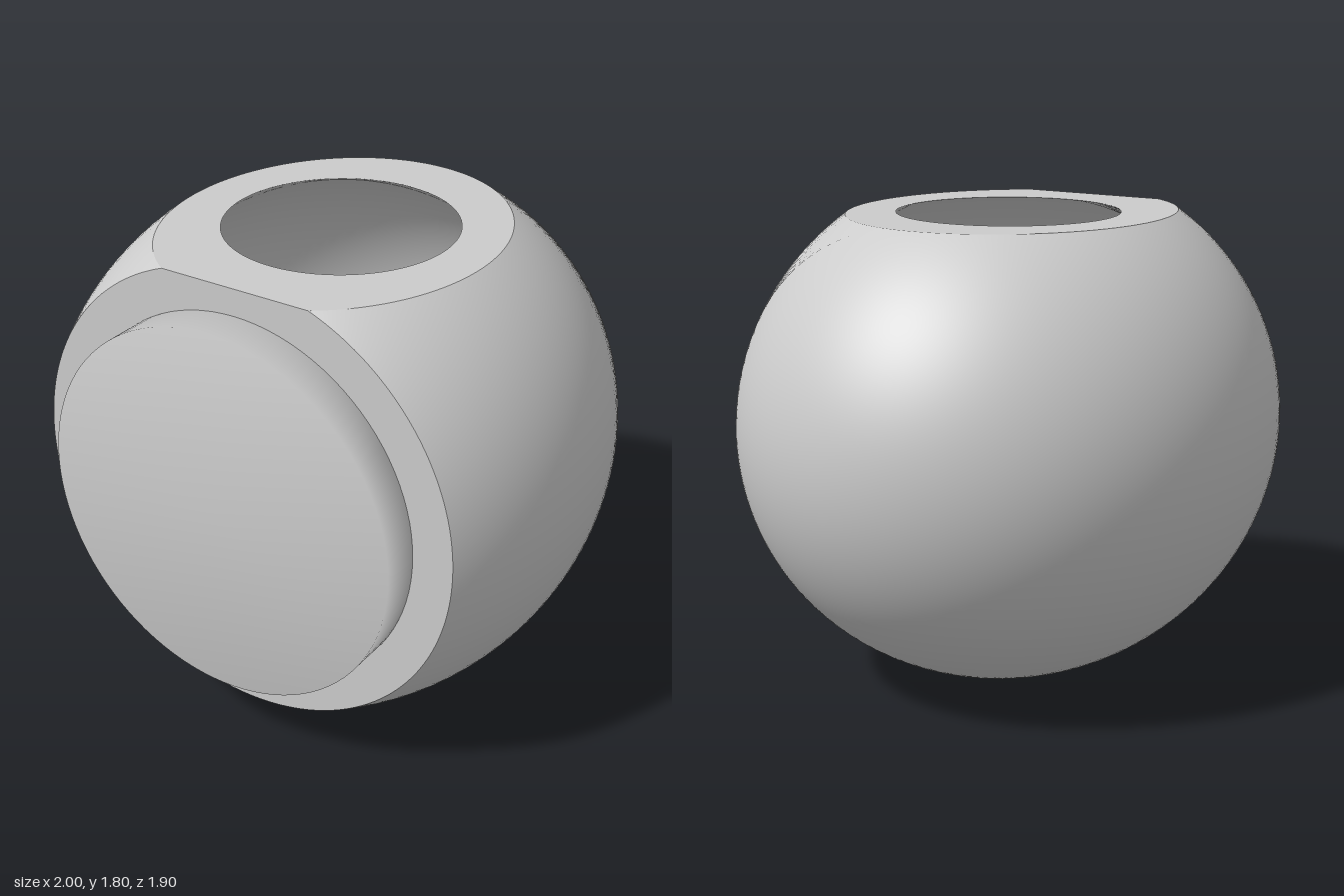
import * as THREE from 'three';

const TOP = 0.8;      // height of the flat top above the body's centre
const FRONT = 0.8;    // z of the flat front
const SEG = 96;

// Ellipsoid skin (radius r, depth radius rz, centre z = cz), open above TOP and in front of FRONT
function skin(r, rz, cz, inward) {
  const crit = rz * Math.sqrt(1 - (TOP / r) ** 2);
  const end = FRONT - cz;
  const stops = [-rz, -crit, ...(crit < end ? [crit] : []), end];
  const rows = [-rz];
  for (let s = 1; s < stops.length; s++) {
    const n = 32;
    for (let i = 1; i <= n; i++) {
      const k = (1 - Math.cos(Math.PI * i / n)) / 2;
      rows.push(stops[s - 1] + (stops[s] - stops[s - 1]) * k);
    }
  }
  const pos = [], nor = [], idx = [], n = new THREE.Vector3();
  rows.forEach((z, i) => {
    const rad = r * Math.sqrt(Math.max(0, 1 - (z / rz) ** 2));
    const a = rad > TOP ? Math.asin(TOP / rad) : Math.PI / 2;
    for (let j = 0; j <= SEG; j++) {
      // from the left-hand cut, round the bottom, to the right-hand cut
      const t = Math.PI - a + (Math.PI + 2 * a) * j / SEG;
      const x = rad * Math.cos(t), y = rad * Math.sin(t);
      pos.push(x, y + 1, z + cz);
      n.set(x / r ** 2, y / r ** 2, z / rz ** 2).normalize().multiplyScalar(inward ? -1 : 1);
      nor.push(n.x, n.y, n.z);
      if (i && j) {
        const d = i * (SEG + 1) + j, c = d - 1, b = d - SEG - 1, e = b - 1;
        if (inward) idx.push(e, c, b, b, c, d);
        else idx.push(e, b, c, b, d, c);
      }
    }
  });
  const g = new THREE.BufferGeometry();
  g.setAttribute('position', new THREE.Float32BufferAttribute(pos, 3));
  g.setAttribute('normal', new THREE.Float32BufferAttribute(nor, 3));
  g.setIndex(idx);
  return g;
}

function addHole(shape, y, r) {
  shape.holes.push(new THREE.Path().absarc(0, y, r, 0, Math.PI * 2, true));
}

export function createModel() {
  const model = new THREE.Group();
  const mat = new THREE.MeshStandardMaterial({ color: 0xcccccc });
  const add = (name, geometry) => {
    const mesh = new THREE.Mesh(geometry, mat);
    mesh.name = name;
    model.add(mesh);
    return mesh;
  };

  const R = 1, RZ = 1.15, CZ = 0.2;       // outer ellipsoid
  const CAV = 0.905, CAVZ = 0.165;        // spherical cavity
  const mouth = Math.sqrt(CAV ** 2 - TOP ** 2);
  const frontHole = Math.sqrt(CAV ** 2 - (FRONT - CAVZ) ** 2);

  add('outerShell', skin(R, RZ, CZ, false));
  add('cavity', skin(CAV, CAV, CAVZ, true));

  // Flat top with the round mouth of the cavity
  const k = Math.sqrt(1 - TOP ** 2);
  const b = Math.asin((FRONT - CZ) / (RZ * k));
  const top = new THREE.Shape();
  top.absellipse(0, -CZ, R * k, RZ * k, -b, Math.PI + b, false, 0);
  addHole(top, -CAVZ, mouth);
  const topMesh = add('flatTop', new THREE.ShapeGeometry(top, SEG).rotateX(-Math.PI / 2));
  topMesh.position.y = 1 + TOP;

  // Flat front rim around the plug
  const rf = R * Math.sqrt(1 - ((FRONT - CZ) / RZ) ** 2);
  const a = Math.asin(TOP / rf);
  const front = new THREE.Shape();
  front.absarc(0, 0, rf, Math.PI - a, 2 * Math.PI + a, false);
  addHole(front, 0, frontHole);
  add('frontRim', new THREE.ShapeGeometry(front, SEG)).position.set(0, 1, FRONT);

  // Round plug closing the front, hollow on the inside
  const profile = [[0, 0.92], [frontHole, 0.92], [frontHole, FRONT], [0.7, FRONT], [0.7, 0.95], [0, 0.95]]
    .map(([x, y]) => new THREE.Vector2(x, y));
  const plug = new THREE.LatheGeometry(profile, SEG).rotateX(Math.PI / 2);
  add('frontPlug', plug).position.y = 1;

  return model;
}
